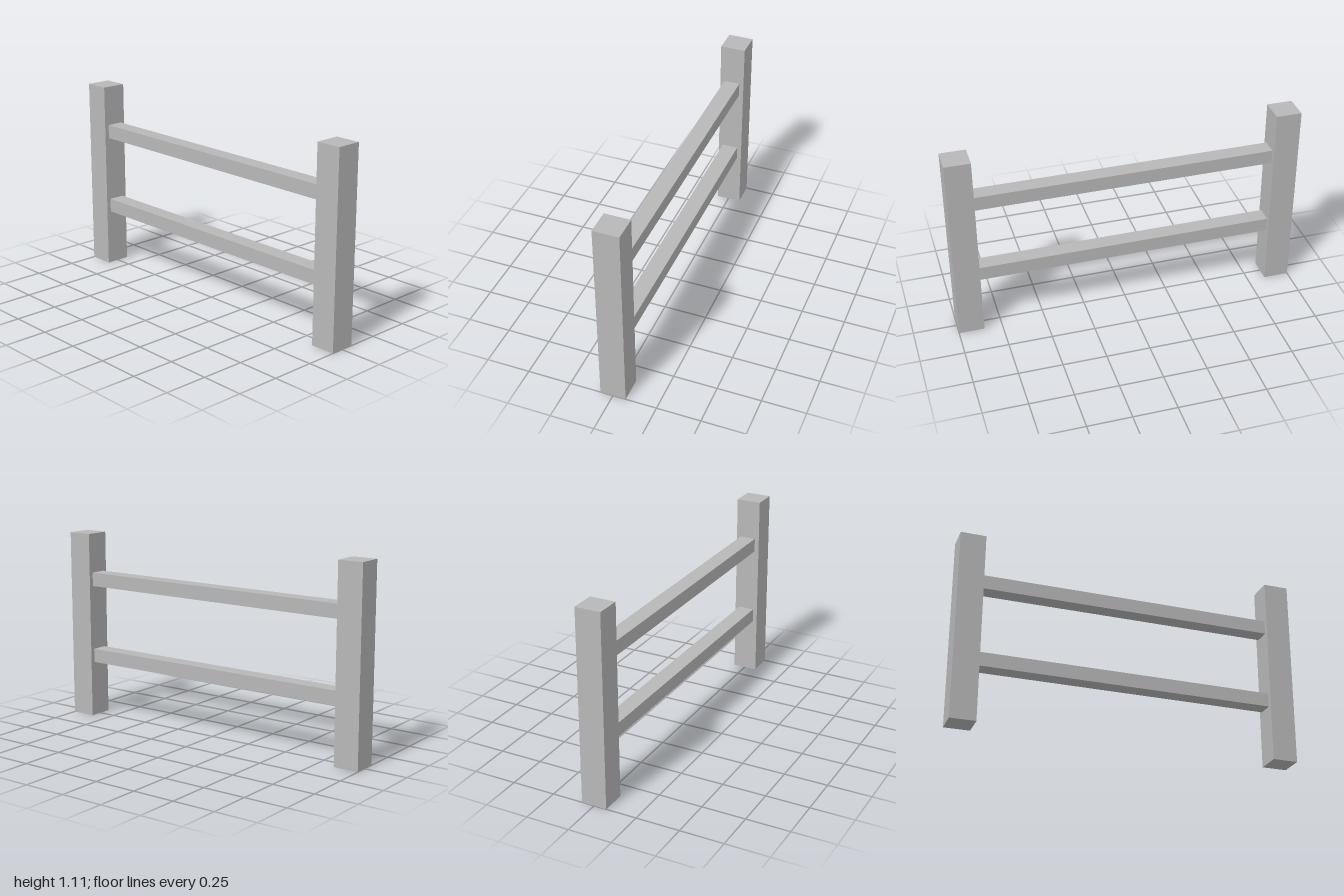
import * as THREE from 'three';

const POST = 0.146, HEIGHT = 1.11;
const RAIL_H = 0.081, RAIL_D = 0.094;

export function createModel() {
  const group = new THREE.Group();
  group.name = 'fence';
  const grey = new THREE.MeshStandardMaterial({ color: 0xb8b8b8 });
  grey.name = 'grey';

  const addBox = (name, w, h, d, x, y) => {
    const mesh = new THREE.Mesh(new THREE.BoxGeometry(w, h, d), grey);
    mesh.name = name;
    mesh.position.set(x, y, 0);
    group.add(mesh);
  };

  // Square posts at both ends
  for (const [name, side] of [['leftPost', 1], ['rightPost', -1]]) {
    addBox(name, POST, HEIGHT, POST, side * (1 - POST / 2), HEIGHT / 2);
  }

  // Horizontal rails between the inner faces of the posts
  for (const [name, y] of [['lowerRail', 0.37], ['upperRail', 0.836]]) {
    addBox(name, 2 - 2 * POST, RAIL_H, RAIL_D, 0, y);
  }

  return group;
}
